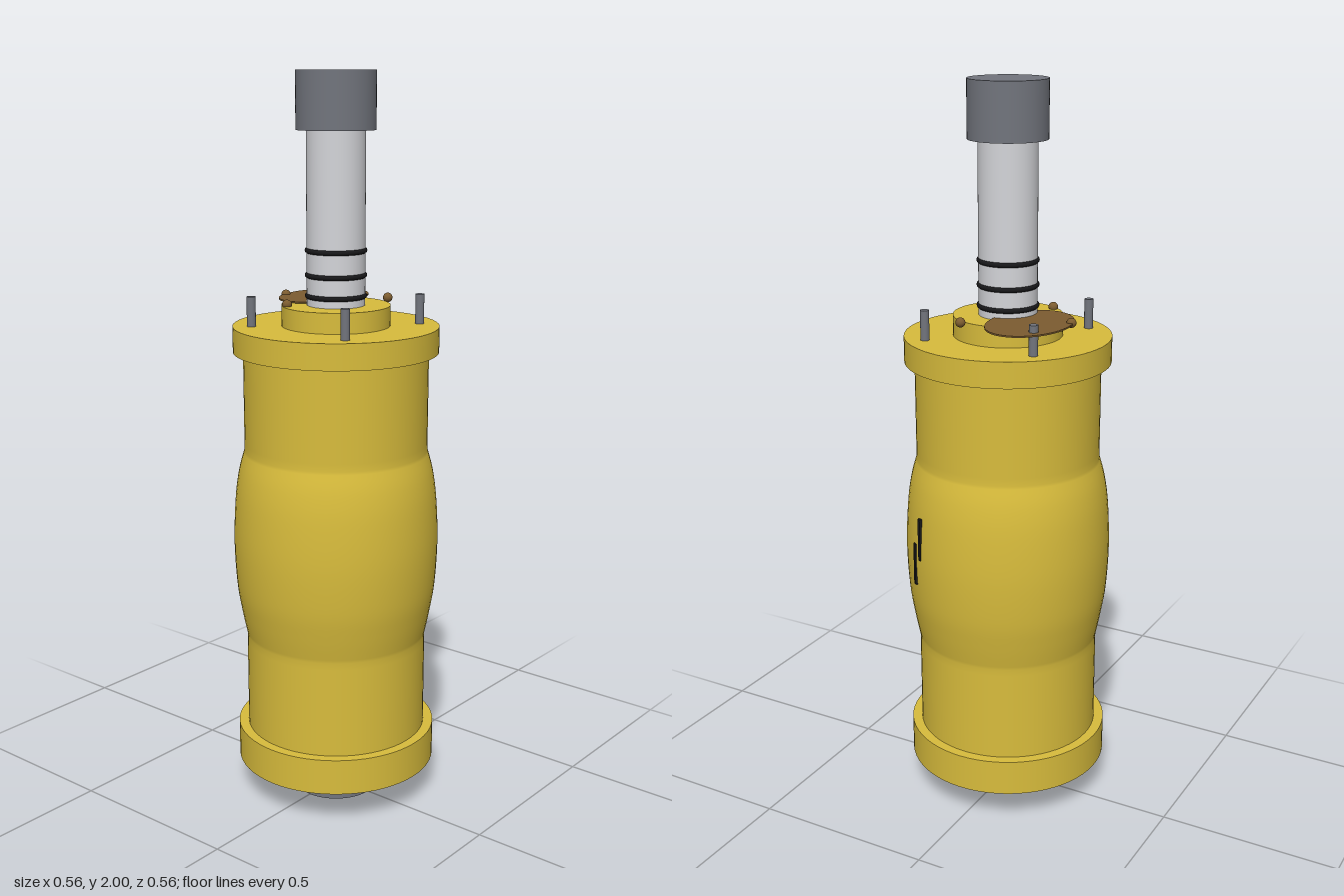
import * as THREE from 'three';

const material = (name, color) => {
  const m = new THREE.MeshStandardMaterial({ color });
  m.name = name;
  return m;
};

export function createModel() {
  const yellow = material('yellow paint', 0xd8bc3c);
  const steel = material('dark steel', 0x72757d);
  const chrome = material('polished rod', 0xd4d5d9);
  const black = material('black rubber', 0x18181a);
  const brown = material('brown oil', 0x7c5c30);

  const model = new THREE.Group();
  model.name = 'hydraulicCylinder';

  const add = (name, geometry, mat, x = 0, y = 0, z = 0) => {
    const mesh = new THREE.Mesh(geometry, mat);
    mesh.name = name;
    mesh.position.set(x, y, z);
    model.add(mesh);
    return mesh;
  };
  // Upright cylinder between two heights
  const drum = (name, r, y0, y1, mat, x = 0, z = 0, sides = 64) =>
    add(name, new THREE.CylinderGeometry(r, r, y1 - y0, sides), mat, x, (y0 + y1) / 2, z);

  // Foot, flanges and collar
  drum('foot', 0.118, 0, 0.1, steel);
  drum('lowerFlange', 0.277, 0.1, 0.2, yellow);
  drum('upperFlange', 0.277, 1.27, 1.34, yellow);
  drum('collar', 0.146, 1.34, 1.395, yellow);

  // Barrel with a swollen middle
  const bulge = new THREE.SplineCurve([
    [0.25, 0.47], [0.264, 0.54], [0.276, 0.62], [0.282, 0.74],
    [0.277, 0.86], [0.266, 0.94], [0.25, 1.0],
  ].map(([r, y]) => new THREE.Vector2(r, y))).getPoints(30);
  const profile = [new THREE.Vector2(0.25, 0.2), new THREE.Vector2(0.25, 0.45),
    ...bulge, new THREE.Vector2(0.25, 1.02), new THREE.Vector2(0.25, 1.27)];
  add('barrel', new THREE.LatheGeometry(profile, 64), yellow);

  // Piston rod, its end cap and seal rings
  drum('pistonRod', 0.078, 1.395, 1.85, chrome);
  drum('rodCap', 0.105, 1.85, 2, steel);
  for (const y of [1.42, 1.475, 1.54]) {
    const ring = new THREE.TorusGeometry(0.076, 0.007, 10, 48).rotateX(Math.PI / 2);
    add('sealRing', ring, black, 0, y, 0);
  }

  // Four studs on the upper flange
  for (const x of [-0.16, 0.16]) {
    for (const z of [-0.16, 0.16]) drum('stud', 0.012, 1.34, 1.42, steel, x, z, 16);
  }

  // Leaked oil: flat patch and drops
  const patch = drum('oilPatch', 1, 1.397, 1.401, brown, 0.08, -0.107, 48);
  patch.scale.set(0.145, 1, 0.106);
  for (const [x, z] of [[0.027, -0.2], [-0.107, -0.08], [0.16, 0.052]]) {
    add('oilDrop', new THREE.SphereGeometry(0.013, 16, 12), brown, x, 1.4, z);
  }

  // Thin cracks on the swollen side
  for (const [x, y, z] of [[0.247, 0.81, 0.134], [0.233, 0.73, 0.158]]) {
    const crack = add('crack', new THREE.BoxGeometry(0.01, 0.12, 0.008), black, x, y, z);
    crack.rotation.y = Math.atan2(x, z);
  }

  return model;
}
